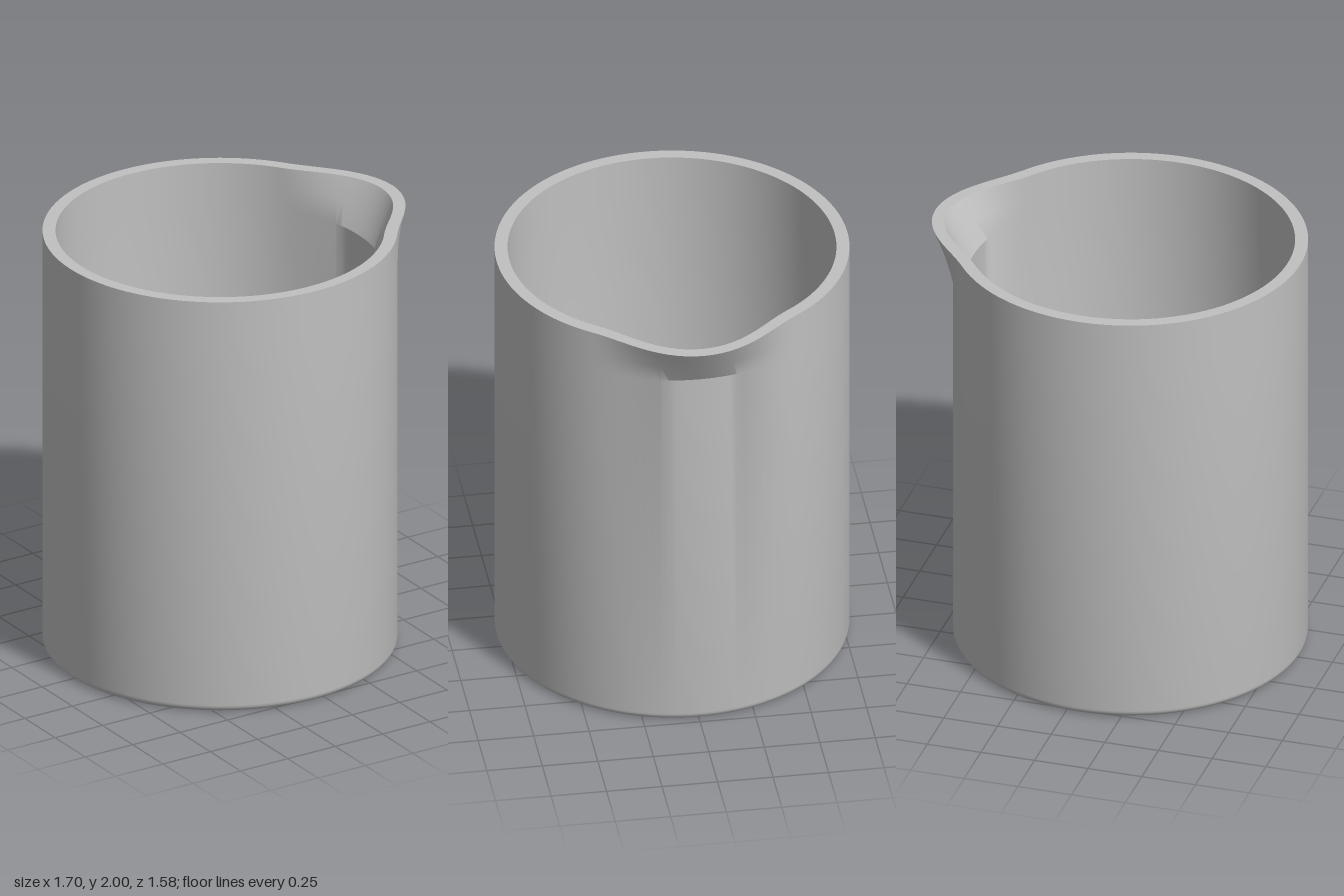
import * as THREE from 'three';
import { toCreasedNormals } from 'three/addons/utils/BufferGeometryUtils.js';

const R = 0.79, WALL = 0.058, HEIGHT = 2, FLOOR = 0.06;
const FILLET = 0.035, SPOUT_BASE = 1.8, SPOUT_REACH = 0.12, SPOUT_HALF_ANGLE = 0.63;

// Quarter-circle run of profile points
function arc(cx, cy, r, from, to, n = 6) {
  return Array.from({ length: n + 1 }, (_, i) => {
    const a = from + ((to - from) * i) / n;
    return new THREE.Vector2(cx + r * Math.cos(a), cy + r * Math.sin(a));
  });
}

// Push the upper wall outwards into a pouring lip on the +x side
function pullSpout(geometry) {
  const p = geometry.attributes.position;
  for (let i = 0; i < p.count; i++) {
    const x = p.getX(i), y = p.getY(i), z = p.getZ(i);
    const angle = Math.abs(Math.atan2(z, x));
    if (y <= SPOUT_BASE || angle >= SPOUT_HALF_ANGLE) continue;
    const rise = (y - SPOUT_BASE) / (HEIGHT - SPOUT_BASE);
    const swell = 0.5 + 0.5 * Math.cos((Math.PI * angle) / SPOUT_HALF_ANGLE);
    const r = Math.hypot(x, z);
    const k = (r + SPOUT_REACH * rise * swell) / r;
    p.setXYZ(i, x * k, y, z * k);
  }
}

export function createModel() {
  const group = new THREE.Group();
  group.name = 'beaker';
  const grey = new THREE.MeshStandardMaterial({ color: 0xc0c0c0 });
  grey.name = 'light grey';

  // Closed wall profile: underside, outer wall, rim, inner wall, floor
  const inner = R - WALL;
  const v = (x, y) => new THREE.Vector2(x, y);
  const profile = [
    v(0, 0),
    ...arc(R - FILLET, FILLET, FILLET, -Math.PI / 2, 0),
    v(R, SPOUT_BASE), v(R, 1.9), v(R, HEIGHT),
    v(inner, HEIGHT), v(inner, 1.9), v(inner, SPOUT_BASE),
    ...arc(inner - FILLET, FLOOR + FILLET, FILLET, 0, -Math.PI / 2),
    v(0, FLOOR),
  ];
  const lathe = new THREE.LatheGeometry(profile, 144);
  pullSpout(lathe);

  // Crease at enlarged scale so the small fillets stay distinct
  lathe.scale(20, 20, 20);
  const geometry = toCreasedNormals(lathe, 0.45);
  geometry.scale(1 / 20, 1 / 20, 1 / 20);

  const vessel = new THREE.Mesh(geometry, grey);
  vessel.name = 'vesselWithSpout';
  vessel.position.x = -0.06;
  group.add(vessel);
  return group;
}
